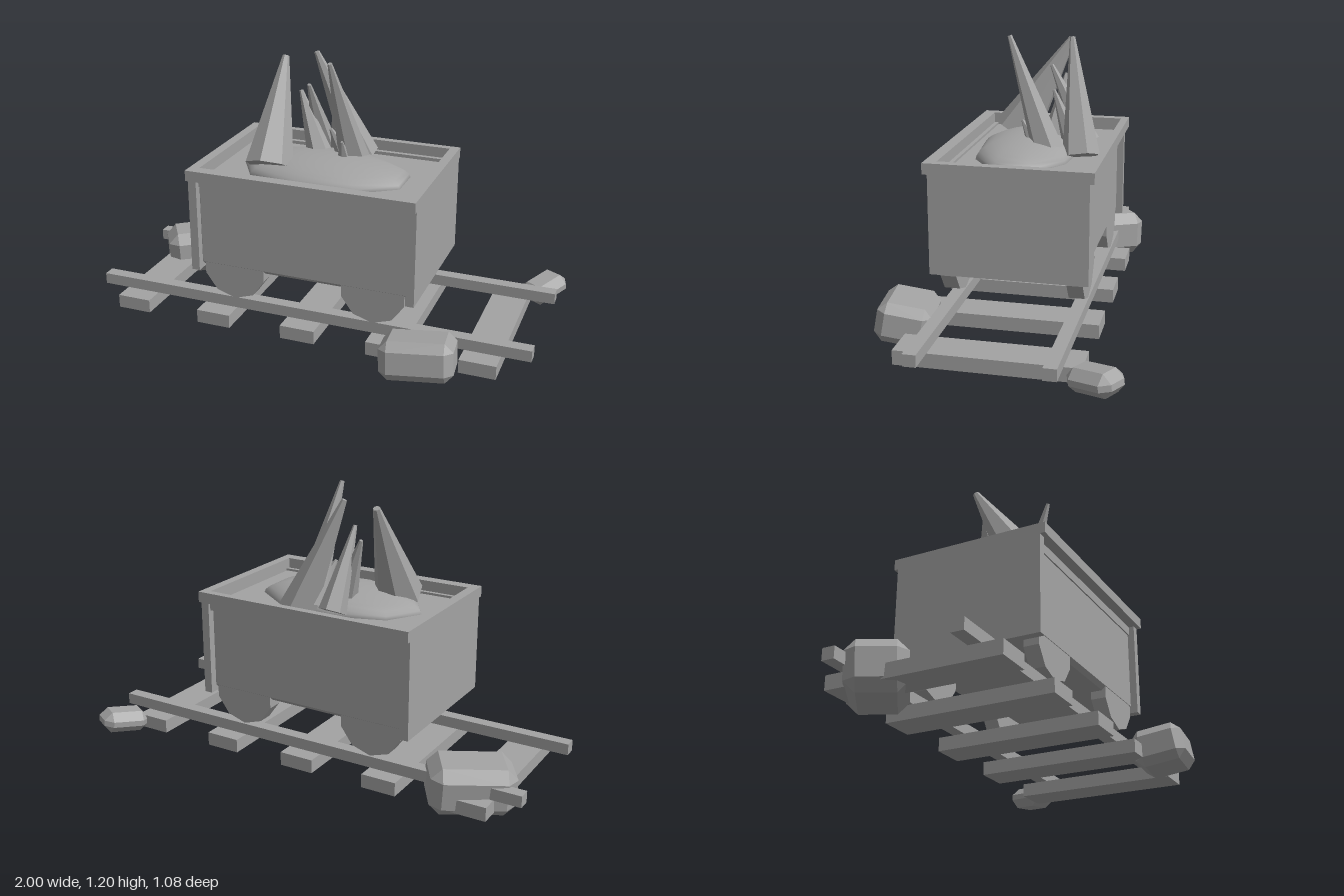
import * as THREE from 'three';
import { ConvexGeometry } from 'three/addons/geometries/ConvexGeometry.js';

const stone = new THREE.MeshStandardMaterial({ color: 0xa3a3a3, flatShading: true });
stone.name = 'grey';
// same grey, smooth shading for the rounded heap
const smoothStone = new THREE.MeshStandardMaterial({ color: 0xa3a3a3 });
smoothStone.name = 'smooth grey';

function add(parent, name, geometry, material = stone) {
  const mesh = new THREE.Mesh(geometry, material);
  mesh.name = name;
  parent.add(mesh);
  return mesh;
}

// box given by its min and max on each axis
function block(parent, name, [x0, x1], [y0, y1], [z0, z1]) {
  const mesh = add(parent, name, new THREE.BoxGeometry(x1 - x0, y1 - y0, z1 - z0));
  mesh.position.set((x0 + x1) / 2, (y0 + y1) / 2, (z0 + z1) / 2);
  return mesh;
}

// box with all edges cut off by c
function chamferedBox(w, h, d, c) {
  const points = [];
  for (const sx of [-1, 1]) for (const sy of [-1, 1]) for (const sz of [-1, 1]) {
    const x = w / 2, y = h / 2, z = d / 2;
    points.push(
      new THREE.Vector3(sx * x, sy * (y - c), sz * (z - c)),
      new THREE.Vector3(sx * (x - c), sy * y, sz * (z - c)),
      new THREE.Vector3(sx * (x - c), sy * (y - c), sz * z));
  }
  return new ConvexGeometry(points);
}

// tapered shard from a base point to a tip point
function crystal(parent, base, tip, radius, sides) {
  const a = new THREE.Vector3(...base), b = new THREE.Vector3(...tip);
  const axis = b.clone().sub(a);
  const mesh = add(parent, 'crystal', new THREE.CylinderGeometry(radius * 0.14, radius, axis.length(), sides));
  mesh.position.copy(a).add(b).multiplyScalar(0.5);
  mesh.quaternion.setFromUnitVectors(new THREE.Vector3(0, 1, 0), axis.normalize());
}

function rock(parent, position, size, chamfer, rotation) {
  const mesh = add(parent, 'rock', chamferedBox(...size, chamfer));
  mesh.position.set(...position);
  mesh.rotation.set(...rotation, 'YXZ');
}

export function createModel() {
  const model = new THREE.Group();
  model.name = 'mineCart';

  // track
  const track = new THREE.Group();
  track.name = 'track';
  model.add(track);
  for (const z of [-0.278, 0.253]) block(track, 'rail', [-1, 0.98], [0.1, 0.15], [z - 0.027, z + 0.027]);
  for (const x of [-0.805, -0.408, -0.01, 0.378, 0.778]) {
    block(track, 'sleeper', [x - 0.078, x + 0.078], [0.04, 0.1], [-0.375, 0.365]);
  }

  // ten-sided wheels, a corner pointing down
  const cart = new THREE.Group();
  cart.name = 'cart';
  model.add(cart);
  for (const x of [-0.33, 0.305]) for (const z of [-0.27, 0.26]) {
    const wheel = add(cart, 'wheel', new THREE.CylinderGeometry(0.146, 0.146, 0.067, 10).rotateX(Math.PI / 2));
    wheel.position.set(x, 0.3, z);
  }

  // tub: recessed body, end plates and rim
  const body = add(cart, 'body', chamferedBox(0.97, 0.4, 0.6, 0.018));
  body.position.set(-0.013, 0.49, -0.005);
  block(cart, 'endPlate', [-0.52, -0.483], [0.277, 0.7], [-0.335, 0.325]);
  block(cart, 'endPlate', [0.457, 0.494], [0.277, 0.7], [-0.335, 0.325]);
  block(cart, 'rim', [-0.52, 0.494], [0.7, 0.747], [0.295, 0.347]);
  block(cart, 'rim', [-0.52, 0.494], [0.7, 0.747], [-0.353, -0.32]);
  block(cart, 'rim', [-0.52, -0.477], [0.7, 0.747], [-0.32, 0.295]);
  block(cart, 'rim', [0.453, 0.494], [0.7, 0.747], [-0.32, 0.295]);
  // strips closing the gap between body and rim
  for (const z of [-0.305, 0.295]) block(cart, 'rimLedge', [-0.483, 0.457], [0.66, 0.7], [z - 0.018, z + 0.006]);

  // heap
  const heap = add(cart, 'heap', new THREE.SphereGeometry(1, 9, 8, 0, Math.PI * 2, 0, Math.PI / 2), smoothStone);
  heap.scale.set(0.385, 0.088, 0.225);
  heap.position.set(-0.01, 0.688, 0.015);

  // crystals: base, tip, radius, sides
  const crystals = [
    [[0.09, 0.72, -0.085], [0.038, 1.2, 0.092], 0.07, 6],
    [[-0.23, 0.73, 0.12], [-0.25, 1.155, -0.125], 0.107, 7],
    [[0.07, 0.7, -0.225], [-0.115, 1.18, -0.15], 0.082, 6],
    [[-0.07, 0.72, -0.08], [-0.175, 1.01, -0.115], 0.06, 6],
    [[-0.1, 0.72, -0.22], [-0.115, 1.055, -0.06], 0.06, 6],
    [[-0.01, 0.72, -0.18], [-0.012, 0.965, -0.09], 0.05, 6],
    [[0.06, 0.72, -0.03], [0.07, 0.845, 0.03], 0.04, 6],
    [[0.06, 0.72, -0.08], [0, 0.88, -0.02], 0.05, 6],
  ];
  for (const c of crystals) crystal(cart, ...c);

  // loose rocks beside the track
  rock(model, [-0.755, 0.112, -0.235], [0.35, 0.205, 0.24], 0.045, [-0.05, 0.575, 0.04]);
  rock(model, [0.542, 0.108, 0.405], [0.305, 0.165, 0.225], 0.036, [-0.17, 0.14, 0.06]);
  rock(model, [0.902, 0.086, -0.432], [0.21, 0.095, 0.145], 0.035, [0, 1.05, 0.14]);

  return model;
}
